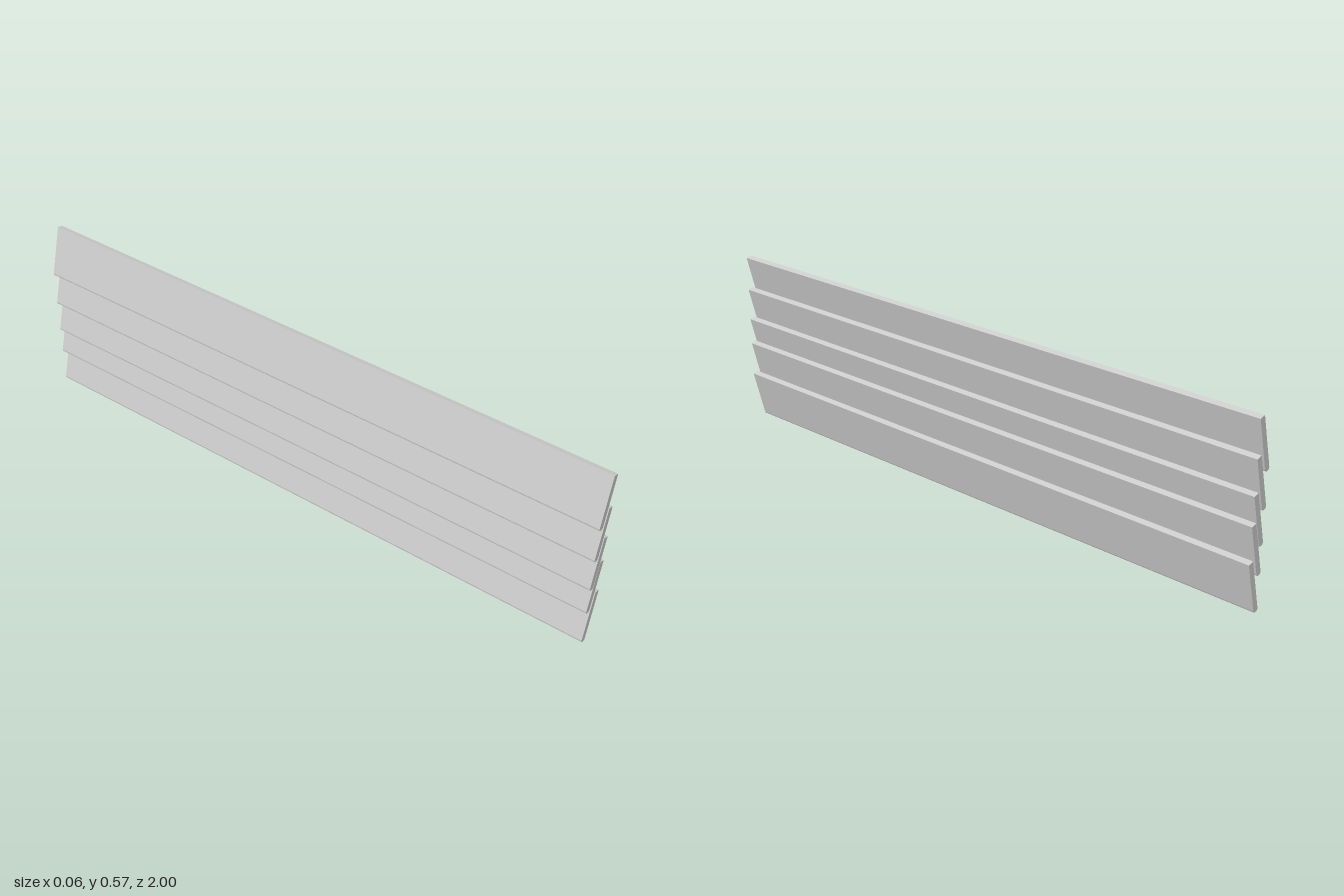
import * as THREE from 'three';

export function createModel() {
  const model = new THREE.Group();
  model.name = 'louvreSlats';
  const material = new THREE.MeshStandardMaterial({ color: 0xcccccc, flatShading: true });

  // Leaning slat cross-section with a softened lower edge
  const profile = new THREE.Shape([
    [0.029, 0.159], [0.0105, 0.164], [-0.03, 0.0095], [-0.029, 0.004],
    [-0.025, 0.001], [-0.018, 0], [-0.0135, 0.002], [-0.011, 0.006],
  ].map(([x, y]) => new THREE.Vector2(x, y)));
  const slat = new THREE.ExtrudeGeometry(profile, { depth: 2, bevelEnabled: false });
  slat.translate(0, 0, -1);

  // Stack of overlapping slats, very slightly skewed along their length
  [0, 0.11, 0.196, 0.3, 0.41].forEach((y, i) => {
    const mesh = new THREE.Mesh(slat, material);
    mesh.name = `slat${i + 1}`;
    mesh.position.y = y;
    mesh.rotation.y = -0.001;
    model.add(mesh);
  });
  return model;
}
